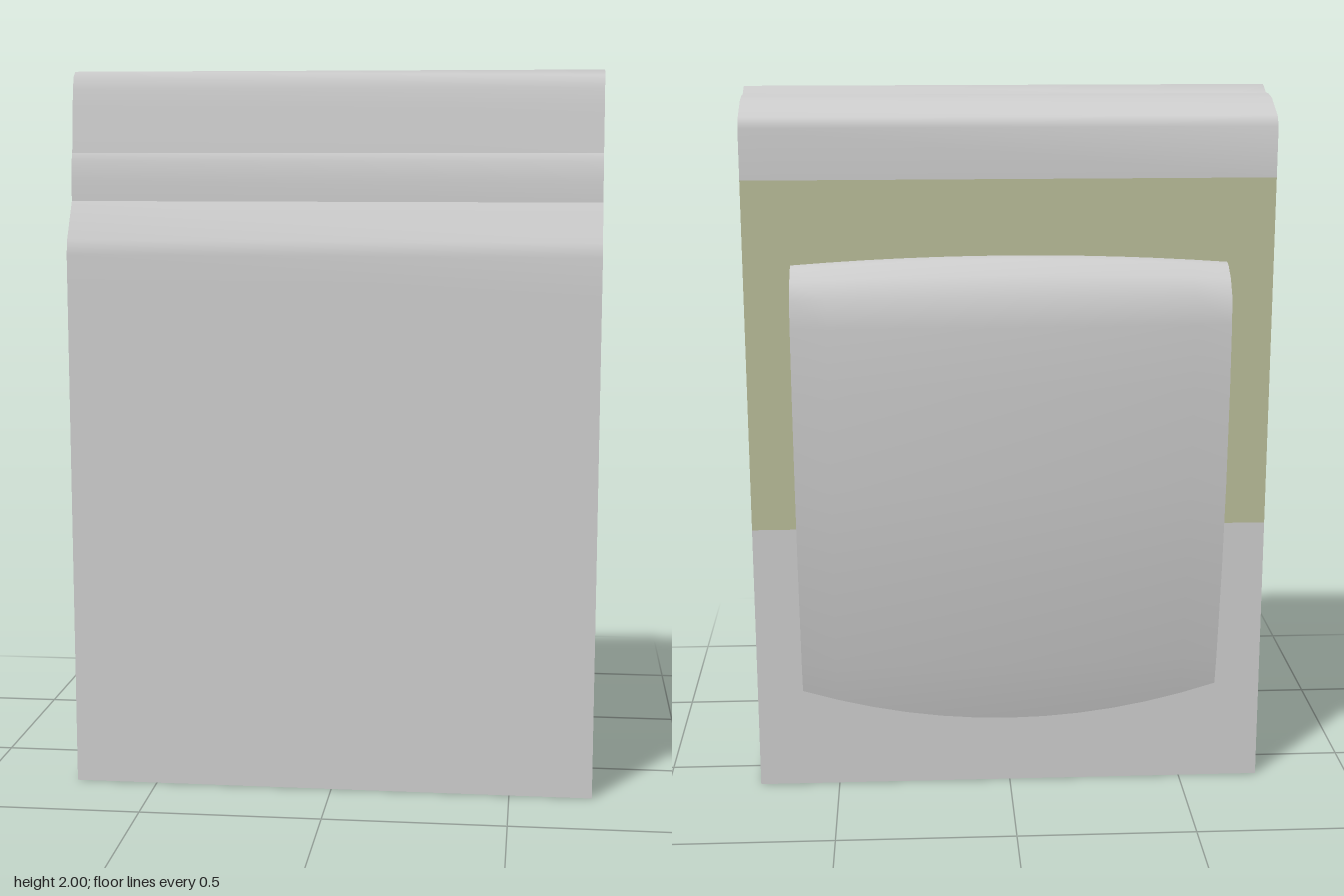
import * as THREE from 'three';

const GREY = 0xcccccc, OLIVE = 0xb8bb98;
const HALF = 0.73;

// Sweeps a [z, y] profile across x. Its face points to the right of travel
// seen from -x (up the front, over the top, down the back = outward).
// bulge(x) pushes the profile along its own normal.
function sheet(name, profile, xs, color, side = THREE.FrontSide, bulge = () => 0) {
  const pos = [], index = [], n = xs.length;
  profile.forEach(([z, y], i) => {
    const a = profile[Math.max(i - 1, 0)];
    const b = profile[Math.min(i + 1, profile.length - 1)];
    const tz = b[0] - a[0], ty = b[1] - a[1], len = Math.hypot(tz, ty);
    for (const x of xs) {
      const d = bulge(x);
      pos.push(x, Math.max(0, y - (tz / len) * d), z + (ty / len) * d);
    }
  });
  for (let i = 0; i < profile.length - 1; i++) {
    for (let j = 0; j < n - 1; j++) {
      const a = i * n + j, c = a + n;
      index.push(a, a + 1, c, a + 1, c + 1, c);
    }
  }
  const geo = new THREE.BufferGeometry();
  geo.setAttribute('position', new THREE.Float32BufferAttribute(pos, 3));
  geo.setIndex(index);
  geo.computeVertexNormals();
  const mesh = new THREE.Mesh(geo, new THREE.MeshStandardMaterial({ color, side }));
  mesh.name = name;
  return mesh;
}

export function createModel() {
  const group = new THREE.Group();
  const across = [-HALF, HALF];
  const add = (name, pts, color) => group.add(sheet(name, pts, across, color));
  // Inner face of a panel: the same profile reversed, set in by a hair
  const lining = (name, pts, color, dz = 0, dy = 0) =>
    add(name, pts.map(([z, y]) => [z + dz, y + dy]).reverse(), color);

  // Front panel with its sloping shoulder
  const front = [[0.26, 0], [0.26, 0.8], [0.26, 1.38], [0.26, 1.5], [0.252, 1.54], [0.19, 1.645]];
  add('frontPanel', front, GREY);
  lining('frontLiningLower', [[0.26, 0], [0.26, 0.79]], OLIVE, -0.003);
  lining('frontLiningBand', [[0.26, 0.79], [0.26, 1.08]], GREY, -0.003);
  lining('frontLiningUpper', [[0.26, 1.08], ...front.slice(2)], OLIVE, -0.003);

  // Rolled top fold, from the shoulder over to the back
  const fold = [[0.19, 1.645], [0.172, 1.8], [0.16, 1.9], [0.152, 1.95], [0.142, 1.985], [0.12, 2],
    [0.07, 1.98], [0.03, 1.98], [-0.02, 1.972], [-0.065, 1.952], [-0.11, 1.932], [-0.13, 1.905],
    [-0.13, 1.766]];
  add('topFold', fold, GREY);
  lining('topFoldLining', fold, OLIVE, 0, -0.003);

  // Inner fold bridging the back and the shoulder
  const inner = [[0.19, 1.645], [0.19, 1.7], [0.184, 1.755], [0.168, 1.792], [0.12, 1.815],
    [0.043, 1.82], [-0.05, 1.8], [-0.13, 1.766]];
  add('innerFold', inner, GREY);
  lining('innerFoldLining', inner, OLIVE, 0, -0.003);

  // Back panel: two tones outside, grey inside
  add('backPanelUpper', [[-0.13, 1.766], [-0.13, 0.78]], OLIVE);
  add('backPanelLower', [[-0.13, 0.78], [-0.13, 0]], GREY);
  lining('backLining', [[-0.13, 1.766], [-0.13, 0]], GREY, 0.003);

  // Base
  add('base', [[-0.13, 0], [0.26, 0]], GREY);
  lining('baseLining', [[-0.13, 0], [0.26, 0]], OLIVE, 0, 0.003);

  // Folded curved sheet hung through the back panel, swelling at its middle
  const hung = [[0.187, 0], [0.187, 0.35], [0.168, 0.65], [0.133, 0.95], [0.083, 1.22],
    [0.025, 1.42], [0, 1.485], [-0.045, 1.518], [-0.1, 1.54], [-0.155, 1.53], [-0.2, 1.5],
    [-0.233, 1.455], [-0.241, 1.38], [-0.241, 1.2], [-0.227, 0.92], [-0.2, 0.67],
    [-0.152, 0.38], [-0.103, 0.18], [-0.05, 0.018]];
  const xs = [-0.6, -0.5, -0.4, -0.3, -0.2, -0.1, 0, 0.1, 0.2, 0.3, 0.4, 0.5, 0.6];
  group.add(sheet('hungSheet', hung, xs, GREY, THREE.DoubleSide,
    (x) => 0.023 * (1 - (x / 0.6) ** 2)));

  return group;
}
